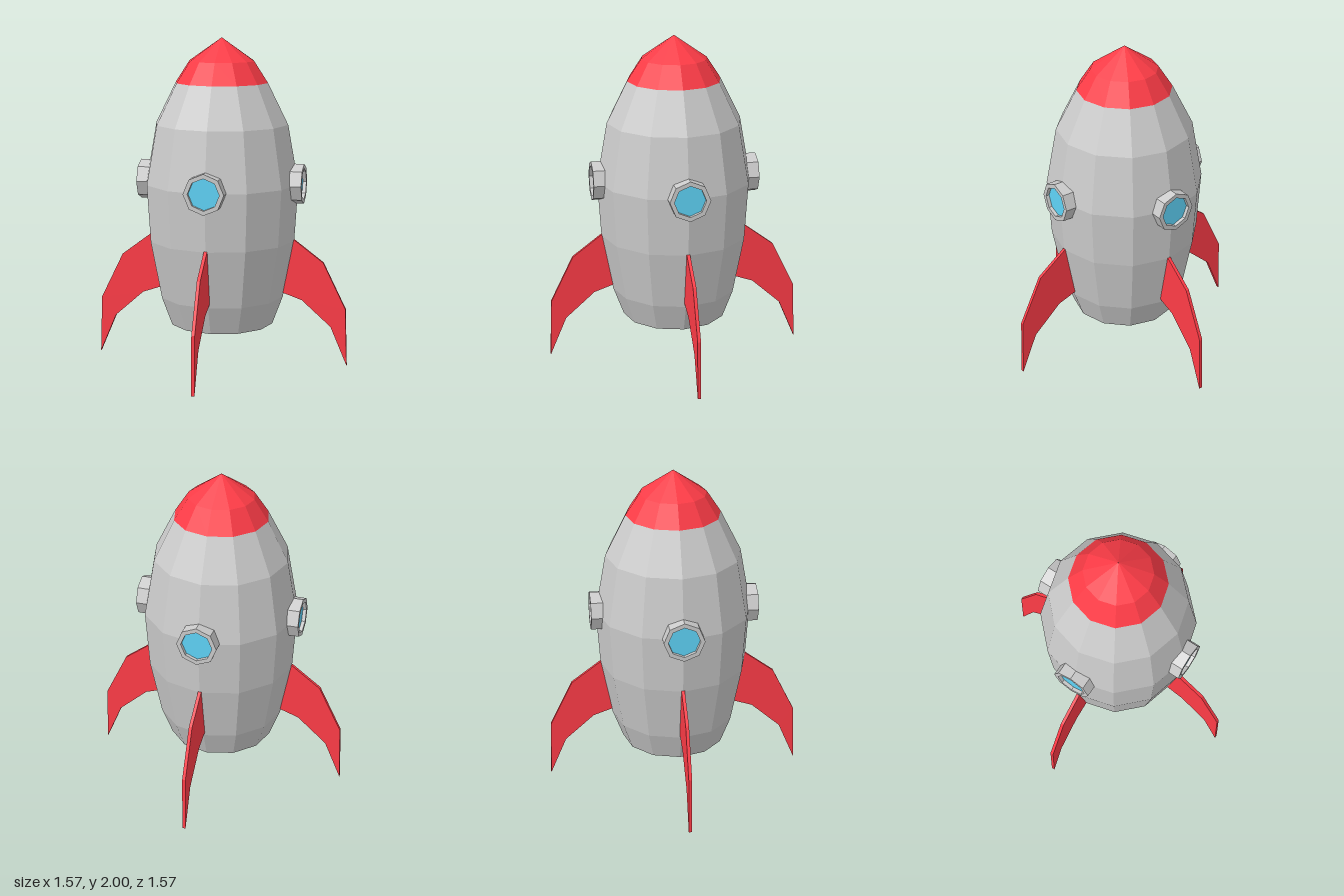
import * as THREE from 'three';

const material = (color, side = THREE.FrontSide) =>
  new THREE.MeshStandardMaterial({ color, flatShading: true, side });

const grey = material(0xcccccc);
const red = material(0xff3c47);
const blue = material(0x5fd3f7);
const orange = material(0xff6600, THREE.DoubleSide);

function part(name, geometry, mat) {
  const mesh = new THREE.Mesh(geometry, mat);
  mesh.name = name;
  return mesh;
}

// Faceted solid of revolution from [radius, height] pairs
const lathe = (profile, sides) =>
  new THREE.LatheGeometry(profile.map(([r, y]) => new THREE.Vector2(r, y)), sides);

// Porthole facing +z: octagonal rim with recessed glass
function createPorthole() {
  const porthole = new THREE.Group();
  const rim = lathe([[0.122, 0.4], [0.122, 0.51], [0.095, 0.51], [0.095, 0.475]], 8);
  rim.rotateX(Math.PI / 2);
  const glass = new THREE.CircleGeometry(0.096, 8).translate(0, 0, 0.488);
  porthole.add(part('portholeRim', rim, grey), part('portholeGlass', glass, blue));
  porthole.position.y = 1.123;
  return porthole;
}

// Swept fin, a thin plate in the xy plane pointing to +x
function createFin() {
  const outline = [
    [0.44, 0.78], [0.455, 0.775], [0.635, 0.64], [0.775, 0.355],
    [0.787, 0], [0.685, 0.24], [0.505, 0.4], [0.375, 0.445],
  ].map(([x, y]) => new THREE.Vector2(x, y));
  const geometry = new THREE.ExtrudeGeometry(new THREE.Shape(outline), { depth: 0.02, bevelEnabled: false });
  return part('finPlate', geometry.translate(0, 0, -0.01), red);
}

export function createModel() {
  const rocket = new THREE.Group();
  rocket.name = 'rocket';

  // Hull, starting inside the nozzle recess and running round the base to the nose
  rocket.add(part('hull', lathe([
    [0.22, 0.39], [0.22, 0.24], [0.32, 0.24], [0.385, 0.415], [0.453, 0.77],
    [0.475, 1.12], [0.41, 1.48], [0.285, 1.73],
  ], 12), grey));
  rocket.add(part('noseCone', lathe([[0.285, 1.73], [0.2, 1.86], [0, 2]], 12), red));

  // Glowing disc closing the nozzle
  const burner = new THREE.CircleGeometry(0.22, 12).rotateX(Math.PI / 2).translate(0, 0.39, 0);
  rocket.add(part('burner', burner, orange));

  // Four portholes and four fins on the axes
  for (let i = 0; i < 4; i++) {
    const porthole = createPorthole();
    porthole.name = 'porthole' + (i + 1);
    const fin = createFin();
    fin.name = 'fin' + (i + 1);
    porthole.rotation.y = fin.rotation.y = (i * Math.PI) / 2;
    rocket.add(porthole, fin);
  }
  return rocket;
}
